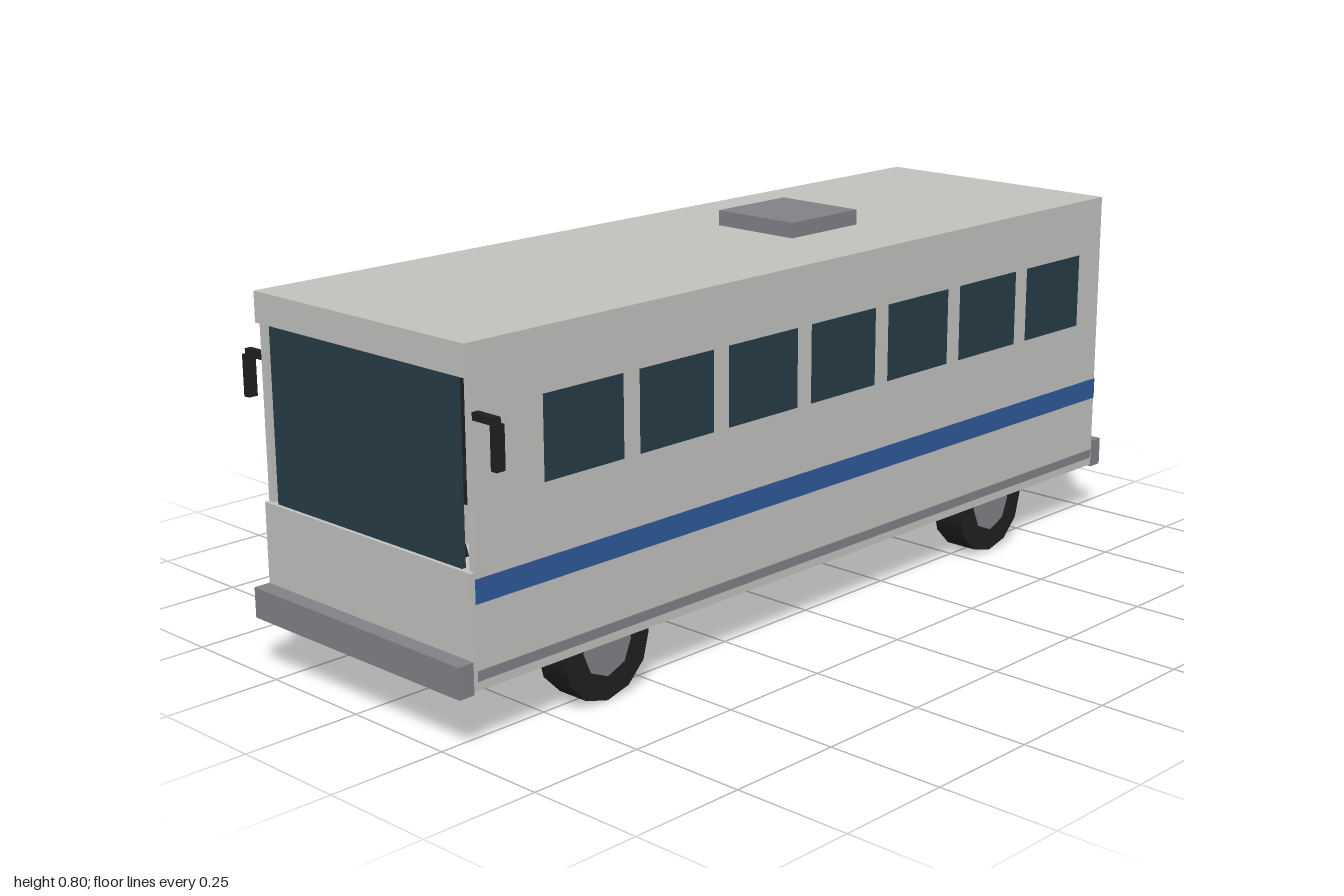
import * as THREE from 'three';

const mat = (name, color) => {
  const m = new THREE.MeshStandardMaterial({ color });
  m.name = name;
  return m;
};

export function createModel() {
  const bus = new THREE.Group();
  bus.name = 'bus';
  const paint = mat('body grey', 0xc0c0bd);
  const glass = mat('dark glass', 0x263b47);
  const blue = mat('stripe blue', 0x2d5899);
  const trim = mat('trim grey', 0x808186);
  const black = mat('black', 0x1f1f1f);

  // Box given by its limits on each axis
  const box = (name, m, [x0, x1], [y0, y1], [z0, z1], parent = bus) => {
    const mesh = new THREE.Mesh(new THREE.BoxGeometry(x1 - x0, y1 - y0, z1 - z0), m);
    mesh.name = name;
    mesh.position.set((x0 + x1) / 2, (y0 + y1) / 2, (z0 + z1) / 2);
    parent.add(mesh);
    return mesh;
  };
  // Limits on the x axis for one side of the bus
  const span = (side, a, b) => (side > 0 ? [a, b] : [-b, -a]);

  // Hollow shell
  box('floor', paint, [-0.29, 0.29], [0.12, 0.14], [-0.95, 0.945]);
  box('roof', paint, [-0.304, 0.304], [0.745, 0.765], [-0.965, 0.965]);
  box('backWall', paint, [-0.29, 0.29], [0.12, 0.745], [-0.965, -0.95]);
  box('frontPanel', paint, [-0.304, 0.304], [0.12, 0.345], [0.945, 0.965]);
  box('frontHeader', paint, [-0.304, 0.304], [0.703, 0.745], [0.945, 0.965]);
  box('windscreen', glass, [-0.272, 0.272], [0.345, 0.703], [0.948, 0.957]);

  // Bumpers
  box('frontBumper', trim, [-0.305, 0.305], [0.115, 0.178], [0.965, 1]);
  box('rearBumper', trim, [-0.305, 0.305], [0.115, 0.178], [-1, -0.965]);

  // Rear window and roof hatch
  box('rearWindow', glass, [-0.253, 0.253], [0.465, 0.655], [-0.968, -0.964]);
  box('roofHatch', trim, [-0.106, 0.106], [0.765, 0.798], [-0.32, -0.11]);

  for (const side of [1, -1]) {
    const label = side > 0 ? 'left' : 'right';
    const half = new THREE.Group();
    half.name = label + 'Side';
    bus.add(half);
    const add = (name, m, x0, x1, y, z) => box(name, m, span(side, x0, x1), y, z, half);

    add('sideWall', paint, 0.29, 0.304, [0.12, 0.745], [-0.965, 0.955]);
    add('stripe', blue, 0.302, 0.3055, [0.285, 0.332], [-0.965, 0.955]);
    add('rubStrip', trim, 0.302, 0.3055, [0.138, 0.158], [-0.96, 0.955]);
    add('rearLamp', trim, 0.218, 0.262, [0.232, 0.295], [-0.968, -0.964]);

    // Side windows, the foremost one only where there is no door
    for (let i = side > 0 ? 0 : 1; i < 7; i++) {
      const z = 0.684 - i * 0.244;
      add('sideWindow', glass, 0.302, 0.306, [0.475, 0.64], [z - 0.1, z + 0.1]);
    }

    // Seats behind the windscreen
    for (let i = 0; i < 6; i++) {
      const z = 0.5 - i * 0.244;
      add('seatCushion', black, 0.08, 0.275, [0.3, 0.345], [z, z + 0.12]);
      add('seatBack', black, 0.08, 0.278, [0.345, 0.53], [z - 0.03, z]);
    }

    // Mirror on its arm
    add('mirrorArm', black, 0.3, 0.363, [0.625, 0.64], [0.936, 0.951]);
    add('mirror', black, 0.354, 0.369, [0.543, 0.628], [0.933, 0.954]);

    // Wheels with hubs
    for (const z of [0.627, -0.58]) {
      const wheel = new THREE.Group();
      wheel.name = (z > 0 ? 'front' : 'rear') + 'Wheel';
      wheel.position.set(side * 0.26, 0.112, z);
      wheel.rotation.z = Math.PI / 2;
      for (const [name, m, r, w, n] of [['tyre', black, 0.112, 0.074, 12], ['hub', trim, 0.062, 0.078, 8]]) {
        const part = new THREE.Mesh(new THREE.CylinderGeometry(r, r, w, n).rotateY(Math.PI / 2), m);
        part.name = name;
        wheel.add(part);
      }
      half.add(wheel);
    }
  }

  // Entrance door and step on the right side
  box('doorFrame', black, [-0.3065, -0.302], [0.135, 0.642], [0.64, 0.872]);
  box('doorGlass', glass, [-0.3085, -0.304], [0.155, 0.634], [0.652, 0.864]);
  box('doorStep', black, [-0.36, -0.29], [0.114, 0.143], [0.635, 0.875]);

  return bus;
}
